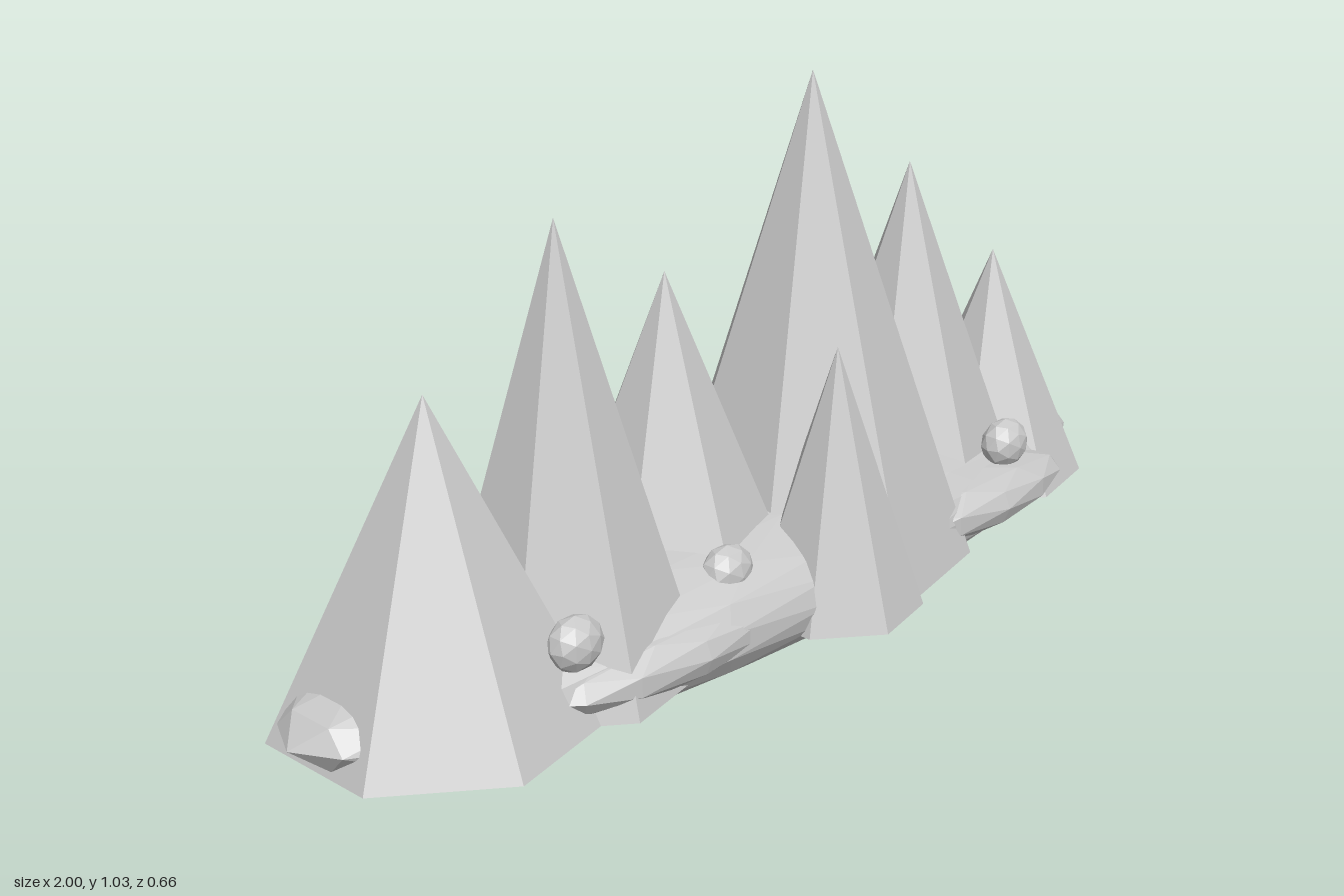
import * as THREE from 'three';

export function createModel() {
  const group = new THREE.Group();
  const stone = new THREE.MeshStandardMaterial({ color: 0xc8c8c8 });
  stone.name = 'grey stone';
  stone.flatShading = true;

  function add(name, geometry, position, scale = [1, 1, 1]) {
    const mesh = new THREE.Mesh(geometry, stone);
    mesh.name = name;
    mesh.position.set(...position);
    mesh.scale.set(...scale);
    group.add(mesh);
  }

  // Long rounded ground mound
  add('groundMound', new THREE.IcosahedronGeometry(1, 3), [0, 0.15, -0.045], [1, 0.148, 0.285]);

  // Pointed ledges along the front
  const ledge = new THREE.IcosahedronGeometry(1, 1);
  add('frontLedgeRight', ledge, [-0.325, 0.155, 0.155], [0.3, 0.06, 0.085]);
  add('frontLedgeLeft', ledge, [0.51, 0.158, 0.145], [0.26, 0.06, 0.09]);

  // Seven-sided peaks: x, z, radius, tip height
  const baseY = 0.1;
  [
    [-0.695, -0.04, 0.29, 0.67],
    [-0.438, -0.003, 0.243, 0.912],
    [-0.136, -0.052, 0.255, 0.735],
    [0.07, 0.17, 0.163, 0.595],
    [0.21, -0.018, 0.31, 1.035],
    [0.53, -0.05, 0.243, 0.792],
    [0.753, -0.012, 0.194, 0.57],
  ].forEach(([x, z, radius, tip], i) => {
    const height = tip - baseY;
    const cone = new THREE.ConeGeometry(radius, height, 7, 1, false, Math.PI / 2);
    add('peak' + (i + 1), cone, [x, baseY + height / 2, z]);
  });

  // Small boulders resting on the front slope
  const boulder = new THREE.IcosahedronGeometry(1, 1);
  [[-0.556, 0.243, 0.15], [-0.185, 0.24, 0.142], [0.602, 0.243, 0.147]].forEach((p, i) => {
    add('boulder' + (i + 1), boulder, p, [0.055, 0.05, 0.04]);
  });

  return group;
}
